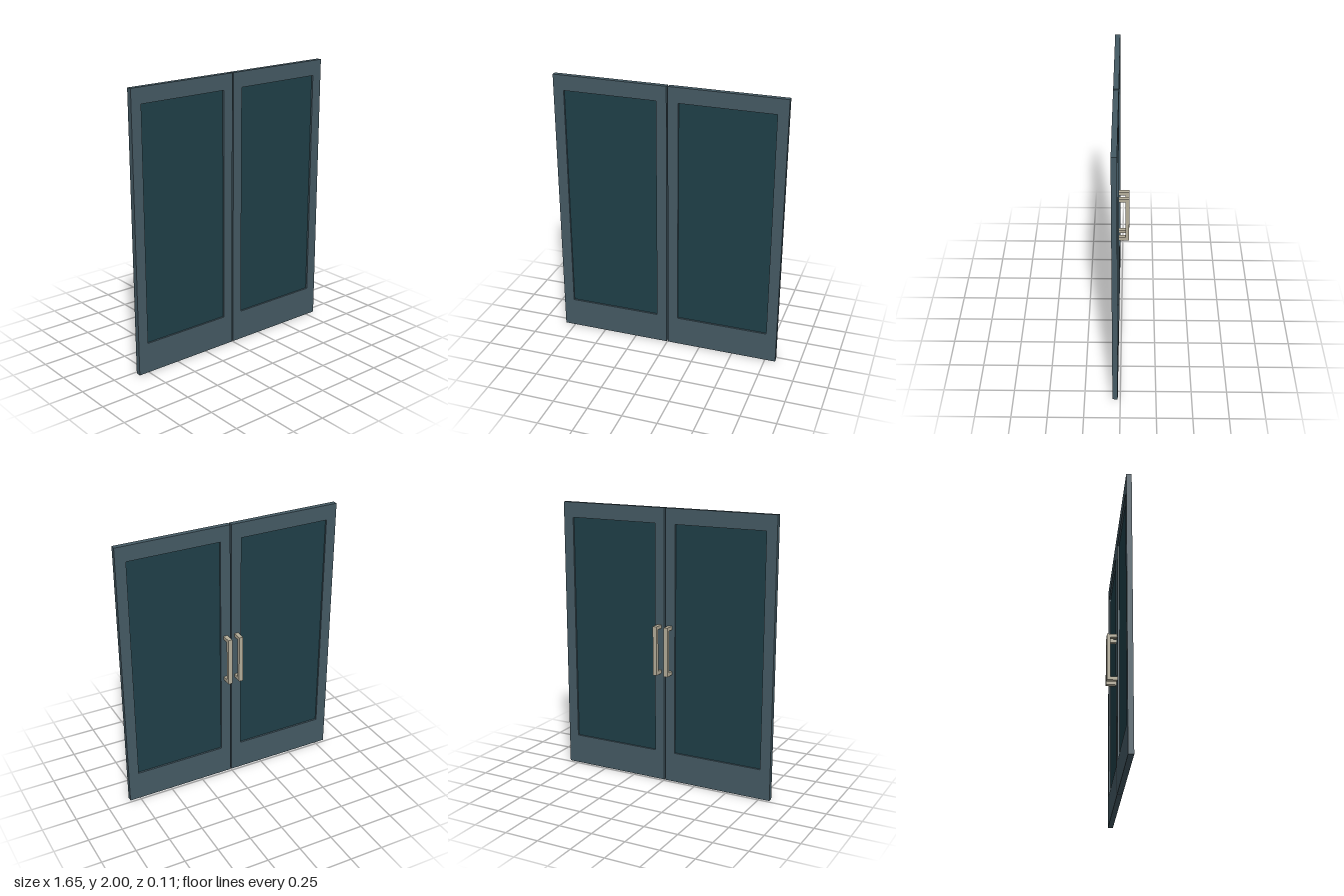
import * as THREE from 'three';

const frameMat = new THREE.MeshStandardMaterial({ color: 0x455a64 });
const panelMat = new THREE.MeshStandardMaterial({ color: 0x1f3f48 });
const handleMat = new THREE.MeshStandardMaterial({ color: 0xb5ae9a });

const Z_BACK = 0.018, Z_FRONT = 0.055;

// Box given by its min and max corners
function box(name, mat, [x0, y0, z0], [x1, y1, z1]) {
  const mesh = new THREE.Mesh(new THREE.BoxGeometry(x1 - x0, y1 - y0, z1 - z0), mat);
  mesh.position.set((x0 + x1) / 2, (y0 + y1) / 2, (z0 + z1) / 2);
  mesh.name = name;
  return mesh;
}

// Rectangle outline, usable as a shape or as a hole
function rect(path, x0, y0, x1, y1) {
  path.moveTo(x0, y0);
  path.lineTo(x1, y0);
  path.lineTo(x1, y1);
  path.lineTo(x0, y1);
  path.closePath();
  return path;
}

function createDoor(side) {
  const door = new THREE.Group();
  door.name = side > 0 ? 'leftDoor' : 'rightDoor';
  const span = (a, b) => (side > 0 ? [a, b] : [-b, -a]);

  // Frame with one large opening and a tall bottom rail
  const [fx0, fx1] = span(0.005, 0.827);
  const [px0, px1] = span(0.079, 0.751);
  const outline = rect(new THREE.Shape(), fx0, 0, fx1, 2);
  outline.holes.push(rect(new THREE.Path(), px0, 0.22, px1, 1.89));
  const frame = new THREE.Mesh(
    new THREE.ExtrudeGeometry(outline, { depth: Z_FRONT - Z_BACK, bevelEnabled: false }), frameMat);
  frame.position.z = Z_BACK;
  frame.name = 'frame';
  door.add(frame);

  // Thin panel recessed from both faces
  door.add(box('panel', panelMat, [px0, 0.22, 0.031], [px1, 1.89, 0.042]));

  // Square pull handle on the back, extruded from its side profile
  const [hx0, hx1] = span(0.028, 0.058);
  const profile = new THREE.Shape([
    [-Z_BACK, 0.815], [0.055, 0.815], [0.055, 1.172], [-Z_BACK, 1.172],
    [-Z_BACK, 1.147], [0.029, 1.147], [0.029, 0.84], [-Z_BACK, 0.84],
  ].map(([x, y]) => new THREE.Vector2(x, y)));
  const handle = new THREE.Mesh(
    new THREE.ExtrudeGeometry(profile, { depth: hx1 - hx0, bevelEnabled: false }), handleMat);
  handle.rotation.y = Math.PI / 2;
  handle.position.x = hx0;
  handle.name = 'handle';
  door.add(handle);
  return door;
}

export function createModel() {
  const model = new THREE.Group();
  model.name = 'doubleDoor';
  for (const side of [1, -1]) model.add(createDoor(side));
  return model;
}
